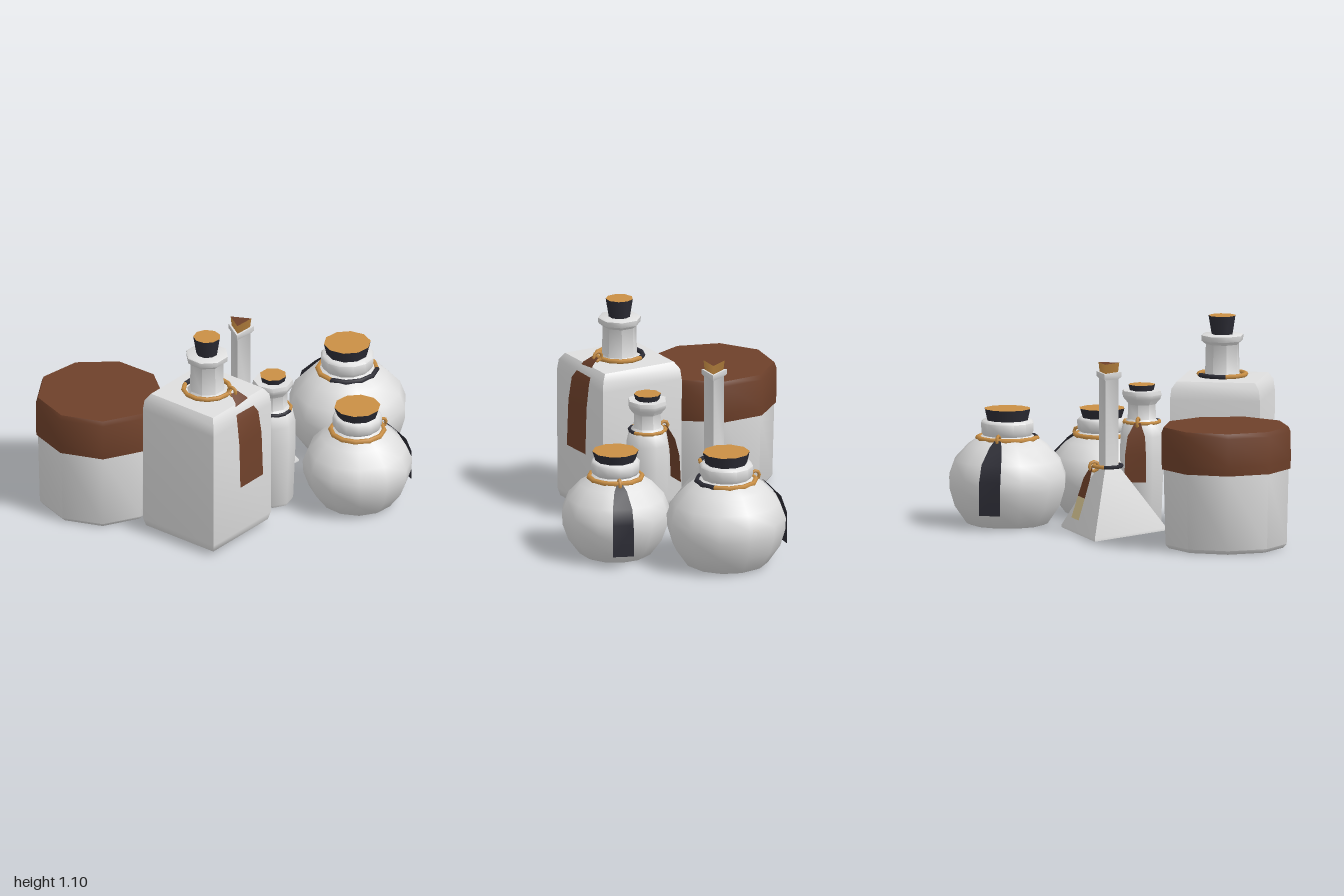
import * as THREE from 'three';
import { toCreasedNormals } from 'three/addons/utils/BufferGeometryUtils.js';

const paint = (name, color, side = THREE.FrontSide) => {
  const m = new THREE.MeshStandardMaterial({ color, side });
  m.name = name;
  return m;
};

export function createModel() {
  const model = new THREE.Group();
  model.name = 'bottleSet';
  const white = paint('porcelain', 0xdedede);
  const brown = paint('brownLeather', 0x6e402a, THREE.DoubleSide);
  const dark = paint('darkCloth', 0x2c2c35, THREE.DoubleSide);
  const tan = paint('tanCork', 0xc98f45);
  const cream = paint('creamLabel', 0xdcca96, THREE.DoubleSide);
  const rad = THREE.MathUtils.degToRad;

  const add = (parent, name, geometry, material) => {
    const mesh = new THREE.Mesh(geometry, material);
    mesh.name = name;
    parent.add(mesh);
    return mesh;
  };

  const vessel = (name, x, z) => {
    const g = new THREE.Group();
    g.name = name;
    g.position.set(x, 0, z);
    model.add(g);
    return g;
  };

  // Turned part from [radius, height] pairs; few sides give square or triangular shapes
  const turned = (parent, name, profile, sides, start, material = white) => {
    const points = profile.map(([r, y]) => new THREE.Vector2(r, y));
    const geometry = new THREE.LatheGeometry(points, sides, start);
    return add(parent, name, toCreasedNormals(geometry, 0.9), material);
  };

  // Tapered stopper with a differently coloured top
  const stopper = (parent, y0, y1, r0, r1, sides, start, side, top) => {
    const geometry = new THREE.CylinderGeometry(r1, r0, y1 - y0, sides, 1, false, start);
    add(parent, 'stopper', geometry, [side, top, side]).position.y = (y0 + y1) / 2;
  };

  // Cord round the neck: a dark stretch between two angles, the rest tan
  const cord = (parent, y, radius, tube, from, to) => {
    const arc = (name, a, b, material) => {
      const segments = Math.max(3, Math.round((b - a) / 30));
      const geometry = new THREE.TorusGeometry(radius, tube, 6, segments, rad(b - a));
      geometry.rotateZ(rad(a)).rotateX(Math.PI / 2);
      add(parent, name, geometry, material).position.y = y;
    };
    if (to > from) arc('darkCord', from, to, dark);
    arc('tanCord', to, from + 360, tan);
  };

  // Hanging tag: rows of [distance out, height, half width], turned to face (dx, dz)
  const tag = (parent, dx, dz, rows, material, shift = 0, loop = true) => {
    const holder = new THREE.Group();
    holder.name = 'tagHolder';
    holder.rotation.y = Math.atan2(dx, dz);
    parent.add(holder);
    const geometry = new THREE.PlaneGeometry(1, 1, 1, rows.length - 1);
    const p = geometry.attributes.position;
    rows.forEach(([d, y, w], i) => {
      p.setXYZ(2 * i, shift - w, y, d);
      p.setXYZ(2 * i + 1, shift + w, y, d);
    });
    geometry.computeVertexNormals();
    add(holder, 'tag', geometry, material);
    if (loop) {
      const knot = add(holder, 'tagLoop', new THREE.TorusGeometry(0.024, 0.009, 5, 8), tan);
      knot.rotation.y = Math.PI / 2;
      knot.position.set(shift, rows[0][1], rows[0][0] - 0.012);
    }
  };

  // Wide covered jar
  const jar = vessel('coveredJar', -0.675, -0.28);
  turned(jar, 'jarBody', [[0, 0], [0.295, 0], [0.312, 0.02], [0.322, 0.41]], 9, 3.06);
  turned(jar, 'jarCover', [[0.31, 0.405], [0.33, 0.405], [0.333, 0.45], [0.332, 0.595],
    [0.322, 0.62], [0, 0.622]], 9, 3.06, brown);

  // Tall square bottle
  const square = vessel('squareBottle', -0.325, 0.225);
  turned(square, 'squareBody', [[0, 0], [0.27, 0], [0.31, 0.02], [0.325, 0.06], [0.327, 0.69],
    [0.318, 0.745], [0.285, 0.78], [0, 0.785]], 4, 1.2);
  turned(square, 'squareNeck', [[0.11, 0.775], [0.09, 0.8], [0.086, 0.95], [0.108, 0.968],
    [0.11, 0.995], [0.1, 1.0], [0, 1.0]], 8, 0.81);
  stopper(square, 0.99, 1.095, 0.053, 0.07, 9, 0, dark, tan);
  cord(square, 0.795, 0.12, 0.012, -130, -55);
  tag(square, 0.41, 0.91, [[0.155, 0.815, 0.025], [0.2, 0.785, 0.045], [0.245, 0.7, 0.085],
    [0.262, 0.58, 0.09], [0.27, 0.34, 0.092]], brown, 0.025);

  // Triangular flask
  const flask = vessel('triangularFlask', 0.085, -0.21);
  turned(flask, 'flaskBody', [[0, 0], [0.315, 0], [0.315, 0.012], [0.06, 0.34]], 3, 1.417);
  turned(flask, 'flaskNeck', [[0.058, 0.33], [0.058, 0.785], [0.075, 0.797], [0.075, 0.822],
    [0, 0.822]], 3, 1.417);
  stopper(flask, 0.82, 0.87, 0.055, 0.062, 3, 1.417, tan, brown);
  cord(flask, 0.345, 0.072, 0.01, 110, 250);
  tag(flask, 0.63, -0.78, [[0.085, 0.345, 0.016], [0.112, 0.28, 0.05], [0.14, 0.19, 0.056]], brown);
  tag(flask, 0.63, -0.78, [[0.14, 0.19, 0.056], [0.174, 0.08, 0.059]], cream, 0, false);

  // Slim vial
  const vial = vessel('slimVial', 0.1, 0.13);
  turned(vial, 'vialBody', [[0, 0], [0.095, 0], [0.102, 0.015], [0.115, 0.35], [0.113, 0.46],
    [0.098, 0.525], [0.075, 0.545], [0.072, 0.62], [0.098, 0.65], [0.104, 0.67],
    [0.1, 0.69], [0, 0.692]], 8, 0.3);
  stopper(vial, 0.685, 0.72, 0.06, 0.069, 8, 0, dark, tan);
  cord(vial, 0.53, 0.092, 0.009, 50, 130);
  tag(vial, -0.36, -0.93, [[0.105, 0.535, 0.016], [0.135, 0.47, 0.045], [0.155, 0.38, 0.054],
    [0.162, 0.24, 0.056]], brown);

  // Two round bottles, the rear one larger
  const front = vessel('frontRoundBottle', 0.475, 0.335);
  turned(front, 'roundBody', [[0, 0], [0.165, 0], [0.185, 0.01], [0.245, 0.09], [0.274, 0.17],
    [0.278, 0.235], [0.25, 0.305], [0.185, 0.375], [0.138, 0.405], [0.112, 0.425],
    [0.125, 0.44], [0.126, 0.485], [0.115, 0.497], [0, 0.498]], 12, 0.1);
  stopper(front, 0.49, 0.545, 0.1, 0.118, 10, 0, dark, tan);
  cord(front, 0.408, 0.135, 0.014, 0, 0);
  tag(front, 1, -0.03, [[0.155, 0.41, 0.016], [0.185, 0.385, 0.032], [0.255, 0.31, 0.05],
    [0.283, 0.235, 0.053], [0.285, 0.07, 0.053]], dark);

  const rear = vessel('rearRoundBottle', 0.695, -0.205);
  turned(rear, 'roundBody', [[0, 0], [0.19, 0], [0.212, 0.01], [0.275, 0.1], [0.302, 0.19],
    [0.304, 0.25], [0.275, 0.33], [0.205, 0.405], [0.155, 0.44], [0.125, 0.455],
    [0.136, 0.475], [0.137, 0.52], [0.125, 0.532], [0, 0.533]], 12, 0.3);
  stopper(rear, 0.525, 0.59, 0.105, 0.12, 10, 0, dark, tan);
  cord(rear, 0.44, 0.15, 0.014, 30, 150);
  tag(rear, -0.28, -0.96, [[0.17, 0.445, 0.016], [0.205, 0.415, 0.032], [0.28, 0.335, 0.052],
    [0.309, 0.25, 0.056], [0.31, 0.08, 0.056]], dark);

  return model;
}
